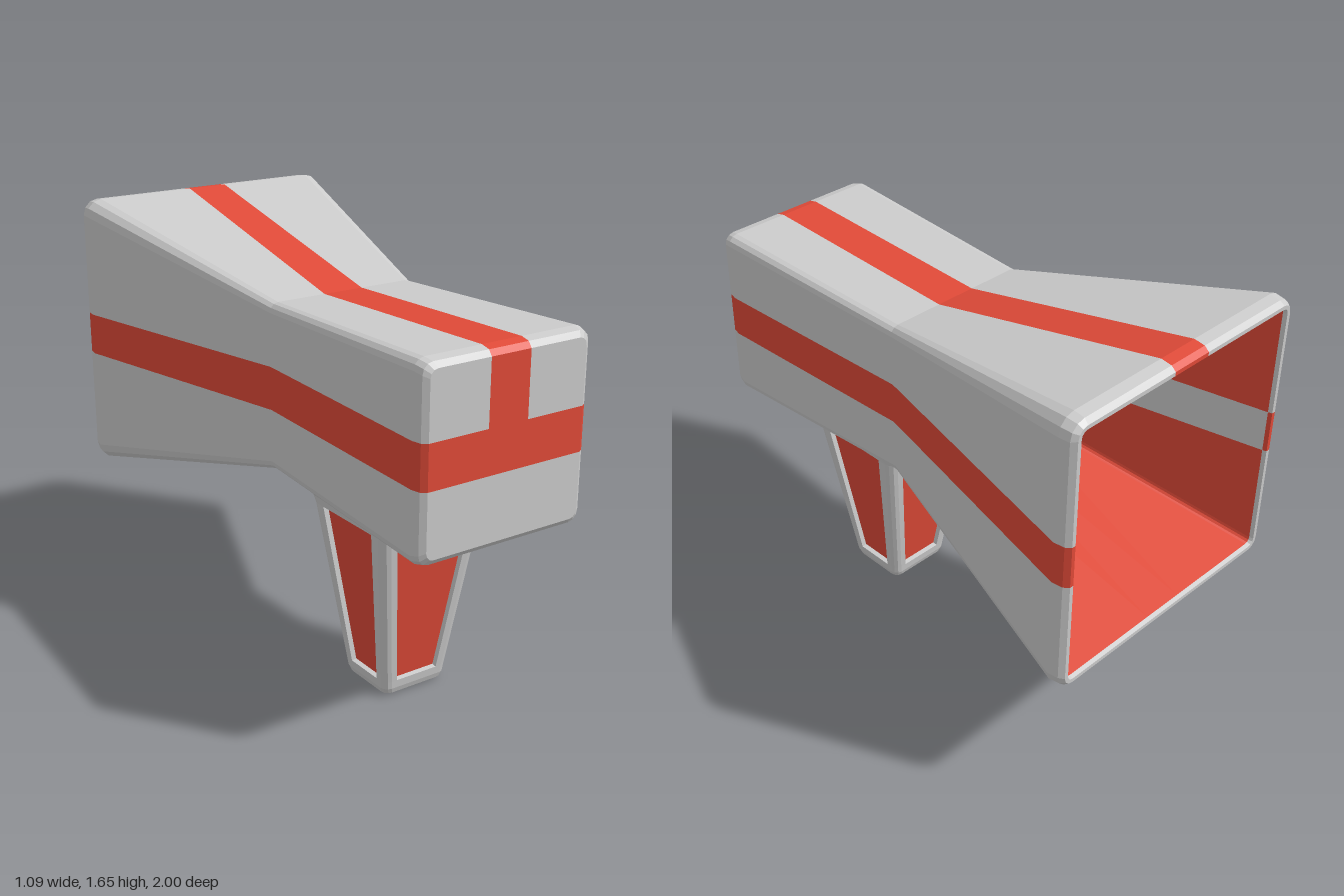
import * as THREE from 'three';

const RED = 0xe04a38, GREY = 0xcccccc;
const CY = 1.104;      // height of the body axis
const STRIPE = 0.082;  // half width of the stripes
const HZ = 0.415;      // depth of the handle axis

// Rounded rectangle of 24 points, counter-clockwise. Each side carries two split
// points: segments 0, 6, 12, 18 are the middles of the +u, +v, -u, -v sides.
function ring(w, h, c, p, q) {
  const pts = [];
  const corner = (x, y, start) => {
    for (let k = 0; k < 4; k++) {
      const a = start + (k / 3) * Math.PI / 2;
      pts.push([x + c * Math.cos(a), y + c * Math.sin(a)]);
    }
  };
  pts.push([w, -p], [w, p]);
  corner(w - c, h - c, 0);
  pts.push([q, h], [-q, h]);
  corner(c - w, h - c, Math.PI / 2);
  pts.push([-w, p], [-w, -p]);
  corner(c - w, c - h, Math.PI);
  pts.push([-q, -h], [q, -h]);
  corner(w - c, c - h, Math.PI * 1.5);
  return pts;
}

function addTri(list, a, b, c) {
  const n = b.clone().sub(a).cross(c.clone().sub(a));
  if (n.length() > 1e-9) list.push(a, b, c);
}

function addQuad(list, a, b, c, d) {
  addTri(list, a, b, c);
  addTri(list, a, c, d);
}

// Walks every cell between neighbouring rings
function loft(rings, cell) {
  for (let j = 0; j < rings.length - 1; j++) {
    const lo = rings[j], hi = rings[j + 1], n = lo.length;
    for (let i = 0; i < n; i++) {
      const k = (i + 1) % n;
      cell(j, i, [lo[i], lo[k], hi[k], hi[i]]);
    }
  }
}

function makeMesh(name, points, color) {
  const geo = new THREE.BufferGeometry().setFromPoints(points);
  geo.computeVertexNormals();
  const mat = new THREE.MeshStandardMaterial({ color, flatShading: true });
  const mesh = new THREE.Mesh(geo, mat);
  mesh.name = name;
  return mesh;
}

// Hollow flared body, lofted from the inner front, round the rear rim, to the outer front
function makeBody() {
  const group = new THREE.Group();
  group.name = 'body';
  const rows = [ // z, half width, half height, corner radius
    [0.96, 0.312, 0.312, 0.02],
    [0.06, 0.282, 0.284, 0.02],
    [-0.985, 0.505, 0.505, 0.02],
    [-1, 0.51, 0.51, 0.025],
    [-1, 0.525, 0.525, 0.04],
    [-0.982, 0.541, 0.541, 0.06],
    [-0.94, 0.547, 0.547, 0.065],
    [0.06, 0.316, 0.318, 0.035],
    [0.95, 0.35, 0.35, 0.04],
    [0.985, 0.342, 0.342, 0.04],
    [1, 0.322, 0.322, 0.03],
  ];
  const flat = rows.map(([, w, h, c]) => ring(w, h, c, STRIPE, STRIPE));
  const rings = flat.map((r, j) => r.map(([x, y]) => new THREE.Vector3(x, CY + y, rows[j][0])));
  const shell = [], stripes = [], lining = [], liningStripes = [];
  loft(rings, (j, i, quad) => {
    const striped = i === 0 || i === 6 || i === 12;
    const list = j < 2 ? (striped ? liningStripes : lining) : (striped ? stripes : shell);
    addQuad(list, ...quad);
  });

  // End wall with a T of stripes: outside facing forward, inside facing back
  const endWall = (pts, z, plain, marked, flip) => {
    const r = [STRIPE, STRIPE], l = [-STRIPE, STRIPE];
    const fill = (list, outline) => {
      const v = outline.map(([x, y]) => new THREE.Vector2(x, y));
      for (const face of THREE.ShapeUtils.triangulateShape(v, [])) {
        const [a, b, c] = face.map((i) => new THREE.Vector3(v[i].x, CY + v[i].y, z));
        const up = b.clone().sub(a).cross(c.clone().sub(a)).z > 0;
        if (up !== flip) addTri(list, a, b, c);
        else addTri(list, a, c, b);
      }
    };
    fill(marked, [pts[0], pts[1], r, pts[6], pts[7], l, pts[12], pts[13]]);
    fill(plain, [...pts.slice(1, 7), r]);
    fill(plain, [l, ...pts.slice(7, 13)]);
    fill(plain, [...pts.slice(13), pts[0]]);
  };
  endWall(flat[flat.length - 1], 1, shell, stripes, false);
  endWall(flat[0], 0.96, lining, liningStripes, true);

  group.add(
    makeMesh('bodyShell', shell, GREY),
    makeMesh('bodyStripes', stripes, RED),
    makeMesh('innerLining', lining, RED),
    makeMesh('innerStripes', liningStripes, GREY),
  );
  return group;
}

// Tapered handle with a sunken panel on each side and a flared top
function makeHandle() {
  const group = new THREE.Group();
  group.name = 'handle';
  const rows = [ // y, half depth, half width, corner radius, panel half width, panel half depth
    [0, 0, 0, 0, 0, 0],
    [0, 0.108, 0.118, 0.025, 0.085, 0.075],
    [0.008, 0.122, 0.132, 0.03, 0.088, 0.078],
    [0.03, 0.13, 0.14, 0.03, 0.088, 0.079],
    [0.062, 0.134, 0.144, 0.03, 0.09, 0.08],
    [0.69, 0.222, 0.226, 0.035, 0.165, 0.15],
    [0.72, 0.23, 0.233, 0.035, 0.165, 0.15],
    [0.745, 0.25, 0.248, 0.04, 0.165, 0.15],
    [0.762, 0.285, 0.27, 0.045, 0.165, 0.15],
    [0.785, 0.34, 0.285, 0.05, 0.165, 0.15],
  ];
  const rings = rows.map(([y, d, w, c, p, q]) =>
    ring(d, w, c, p, q).map(([u, v]) => new THREE.Vector3(v, y, HZ + u)));
  const frame = [], panels = [];
  loft(rings, (j, i, quad) => {
    if (j !== 4 || i % 6) return addQuad(frame, ...quad);
    const [a, b, , d] = quad;
    const inward = b.clone().sub(a).cross(d.clone().sub(a)).setLength(-0.02);
    const sunk = quad.map((v) => v.clone().add(inward));
    for (let k = 0; k < 4; k++) {
      const m = (k + 1) % 4;
      addQuad(frame, quad[k], quad[m], sunk[m], sunk[k]);
    }
    addQuad(panels, ...sunk);
  });
  group.add(makeMesh('handleFrame', frame, GREY), makeMesh('handlePanels', panels, RED));
  return group;
}

export function createModel() {
  const model = new THREE.Group();
  model.name = 'model';
  model.add(makeBody(), makeHandle());
  return model;
}
